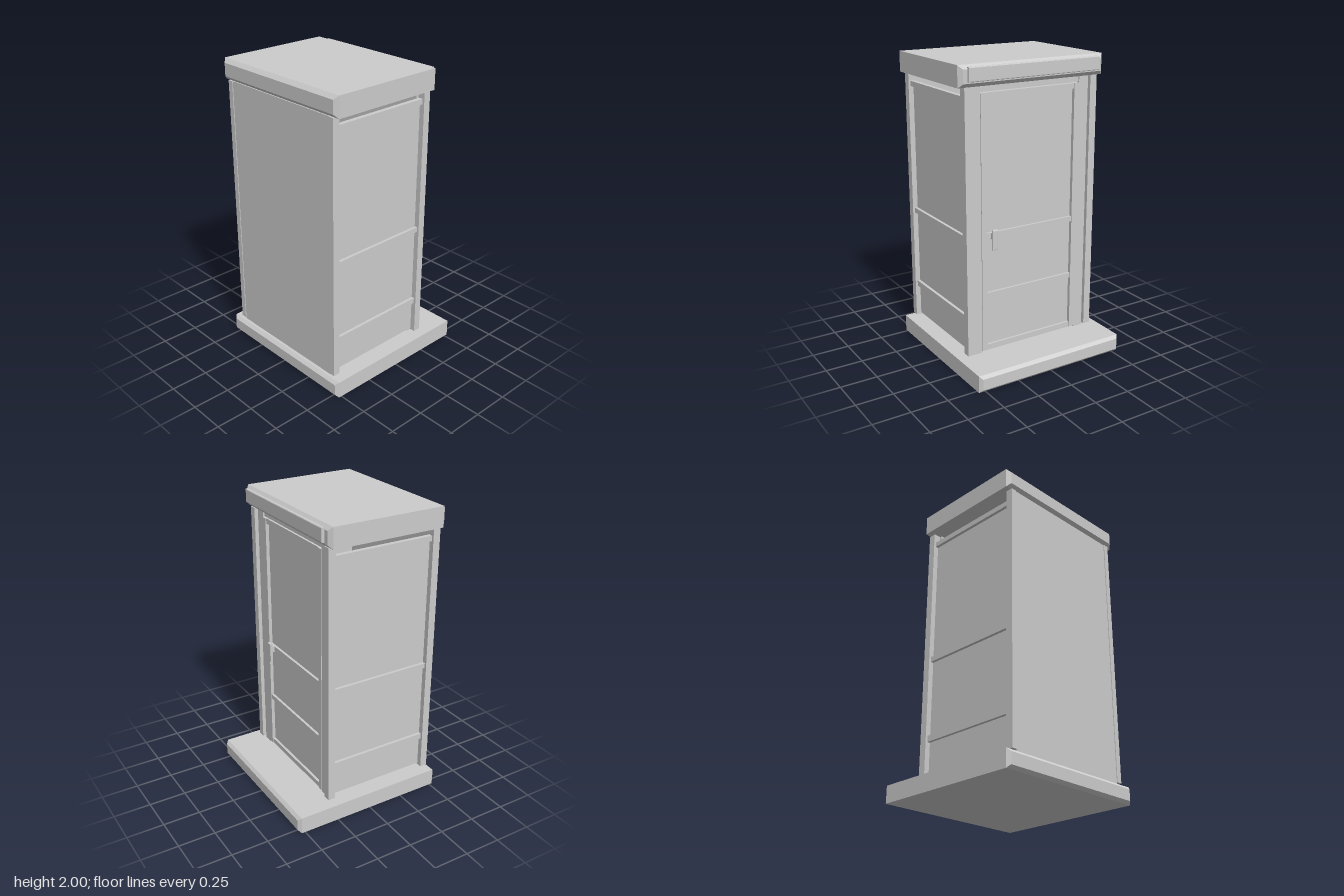
import * as THREE from 'three';

const grey = new THREE.MeshStandardMaterial({ color: 0xcccccc });
grey.name = 'plain grey';

export function createModel() {
  const model = new THREE.Group();
  model.name = 'cabin';

  function add(parent, name, geometry) {
    const mesh = new THREE.Mesh(geometry, grey);
    mesh.name = name;
    parent.add(mesh);
    return mesh;
  }

  // Box given by its limits on each axis
  function box(parent, name, x0, x1, y0, y1, z0, z1) {
    const g = new THREE.BoxGeometry(x1 - x0, y1 - y0, z1 - z0);
    g.translate((x0 + x1) / 2, (y0 + y1) / 2, (z0 + z1) / 2);
    return add(parent, name, g);
  }

  // Slab whose front and back edges are chamfered by b
  function slab(parent, name, x0, x1, y0, y1, z0, z1, b, segments = 1) {
    const s = new THREE.Shape();
    s.moveTo(x0 + b, y0 + b);
    s.lineTo(x1 - b, y0 + b);
    s.lineTo(x1 - b, y1 - b);
    s.lineTo(x0 + b, y1 - b);
    s.closePath();
    const g = new THREE.ExtrudeGeometry(s, {
      depth: z1 - z0 - 2 * b, bevelEnabled: true,
      bevelSize: b, bevelThickness: b, bevelSegments: segments,
    });
    g.translate(0, 0, z0 + b);
    return add(parent, name, g);
  }

  // Base, roof and the plain plate on the back of the roof
  slab(model, 'base', -0.545, 0.545, 0, 0.115, -0.545, 0.54, 0.02);
  slab(model, 'roof', -0.525, 0.525, 1.865, 2, -0.307, 0.522, 0.025);
  slab(model, 'roofPlate', -0.475, 0.475, 1.9, 1.99, -0.33, -0.307, 0.006, 2);

  // Closed front wall
  box(model, 'frontPanel', -0.447, 0.447, 0.12, 1.865, 0.47, 0.505);

  // Both sides: posts, thin wall and three rails
  for (const side of [-1, 1]) {
    const wall = new THREE.Group();
    wall.name = side < 0 ? 'rightWall' : 'leftWall';
    model.add(wall);
    const sideBox = (name, xa, xb, ...rest) =>
      box(wall, name, Math.min(side * xa, side * xb), Math.max(side * xa, side * xb), ...rest);
    sideBox('frontPost', 0.447, 0.485, 0.13, 1.865, 0.46, 0.51);
    sideBox('backPost', 0.435, 0.485, 0.13, 1.865, -0.29, -0.24);
    sideBox('doorJamb', 0.365, 0.435, 0.115, 1.865, -0.265, -0.225);
    sideBox('sidePanel', 0.435, 0.45, 0.14, 1.79, -0.245, 0.47);
    for (const [y0, y1] of [[0.35, 0.39], [0.895, 0.93], [1.77, 1.805]])
      sideBox('sideRail', 0.44, 0.47, y0, y1, -0.25, 0.465);
  }

  // Back door
  const door = new THREE.Group();
  door.name = 'door';
  model.add(door);
  box(door, 'doorHeader', -0.365, 0.365, 1.825, 1.865, -0.255, -0.225);
  box(door, 'threshold', -0.365, 0.365, 0.115, 0.125, -0.25, -0.225);
  box(door, 'doorPanel', -0.345, 0.345, 0.13, 1.81, -0.245, -0.23);
  for (const x of [-0.345, 0.345])
    box(door, 'doorStile', x - 0.018, x + 0.018, 0.125, 1.82, -0.268, -0.228);
  for (const [y0, y1] of [[0.125, 0.16], [0.49, 0.525], [0.895, 0.93], [1.785, 1.82]])
    box(door, 'doorRail', -0.33, 0.33, y0, y1, -0.262, -0.23);

  // Door handle
  box(door, 'handleMount', 0.265, 0.295, 0.89, 0.93, -0.28, -0.255);
  slab(door, 'handle', 0.26, 0.3, 0.82, 0.955, -0.297, -0.277, 0.006, 2);

  return model;
}
